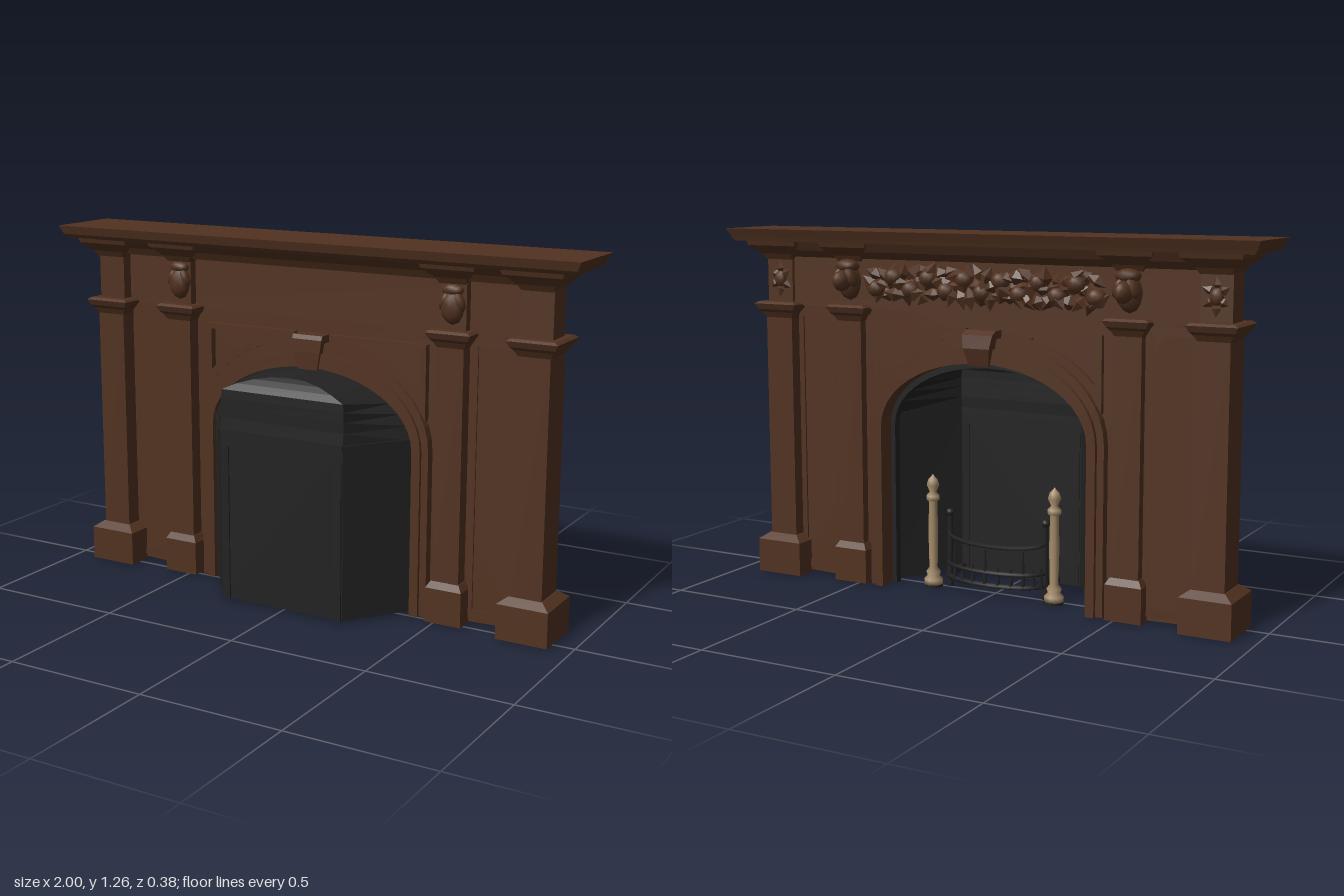
import * as THREE from 'three';

const wood = new THREE.MeshStandardMaterial({ color: 0x513220 });
wood.name = 'brown wood';
const iron = new THREE.MeshStandardMaterial({ color: 0x222222, side: THREE.DoubleSide });
iron.name = 'black iron';
const brass = new THREE.MeshStandardMaterial({ color: 0xa38a69 });
brass.name = 'pale brass';

const V2 = (x, y) => new THREE.Vector2(x, y);
const V3 = (x, y, z) => new THREE.Vector3(x, y, z);
const SPRING = 0.58; // height where the arch starts to curve

function flat(geo) {
  const g = geo.index ? geo.toNonIndexed() : geo;
  g.computeVertexNormals();
  return g;
}

// Stack of rectangles [y, x0, x1, z0, z1] joined into a moulded block
function block(sections) {
  const pos = [], idx = [];
  for (const [y, x0, x1, z0, z1] of sections) {
    pos.push(x0, y, z0, x0, y, z1, x1, y, z1, x1, y, z0);
  }
  for (let s = 0; s < sections.length - 1; s++) {
    for (let i = 0; i < 4; i++) {
      const a = s * 4 + i, b = s * 4 + (i + 1) % 4;
      idx.push(a, b, b + 4, a, b + 4, a + 4);
    }
  }
  const t = (sections.length - 1) * 4;
  idx.push(t, t + 1, t + 2, t, t + 2, t + 3, 0, 2, 1, 0, 3, 2);
  const g = new THREE.BufferGeometry();
  g.setAttribute('position', new THREE.Float32BufferAttribute(pos, 3));
  g.setIndex(idx);
  return flat(g);
}

// Points of an arch outline, from its right foot to its left foot
function arch(rx, ry, n = 24) {
  const pts = [V2(rx, 0)];
  for (let i = 0; i <= n; i++) {
    const a = Math.PI * i / n;
    pts.push(V2(rx * Math.cos(a), SPRING + ry * Math.sin(a)));
  }
  pts.push(V2(-rx, 0));
  return pts;
}

function slab(shape, z0, z1) {
  return new THREE.ExtrudeGeometry(shape, { depth: z1 - z0, bevelEnabled: false }).translate(0, 0, z0);
}

function archRing(ro, ho, ri, hi, z0, z1) {
  return slab(new THREE.Shape([...arch(ro, ho), ...arch(ri, hi).reverse()]), z0, z1);
}

// Corner panel outline whose lower edge follows the arch
function spandrel(x0, x1, top, rx, ry, side) {
  const pts = [V2(x0 * side, top), V2(x1 * side, top)];
  for (let i = 0; i <= 8; i++) {
    const x = x1 + (x0 - x1) * i / 8;
    pts.push(V2(x * side, SPRING + ry * Math.sqrt(1 - (x / rx) ** 2)));
  }
  return pts;
}

function rectPoints(x0, x1, y0, y1) {
  return [V2(x0, y0), V2(x1, y0), V2(x1, y1), V2(x0, y1)];
}

export function createModel() {
  const model = new THREE.Group();
  const add = (name, geo, mat = wood, parent = model) => {
    const m = new THREE.Mesh(geo, mat);
    m.name = name;
    parent.add(m);
    return m;
  };

  // Wall with arched opening, frieze and mantel shelf
  const wall = new THREE.Shape([V2(-0.78, 0.01), V2(-0.78, 1.16), V2(0.78, 1.16), V2(0.78, 0.01), ...arch(0.42, 0.27)]);
  add('wall', slab(wall, -0.068, -0.045));
  add('frieze', block([[0.99, -0.78, 0.78, -0.085, -0.04], [1.165, -0.78, 0.78, -0.085, -0.04]]));
  add('mantelCornice', block([
    [1.165, -0.87, 0.87, -0.09, -0.015], [1.19, -0.9, 0.9, -0.12, 0.0], [1.225, -0.92, 0.92, -0.14, 0.035],
  ]));
  add('mantelShelf', block([
    [1.222, -0.975, 0.975, -0.172, 0.07], [1.235, -0.985, 0.985, -0.177, 0.08], [1.265, -1, 1, -0.19, 0.09],
  ]));

  // Arch mouldings and keystone
  add('archMoulding', archRing(0.455, 0.335, 0.405, 0.26, -0.1, -0.012));
  add('archInnerMoulding', archRing(0.43, 0.3, 0.398, 0.246, -0.115, 0.0));
  add('keystone', block([
    [0.82, -0.038, 0.038, -0.125, 0.008], [0.88, -0.05, 0.05, -0.143, 0.012],
    [0.925, -0.058, 0.058, -0.135, 0.012], [0.94, -0.058, 0.058, -0.11, 0.005],
  ]));

  // Carved leaves and lumps, varied by a seeded rule
  let seed = 7;
  const rnd = () => (seed = (seed * 16807) % 2147483647) / 2147483647;
  const lumpGeo = new THREE.IcosahedronGeometry(1, 1);
  const lump = (parent, x, y, z, sx, sy, sz, angle = 0) => {
    const m = add('carvedLump', lumpGeo, wood, parent);
    m.position.set(x, y, z);
    m.rotation.z = angle;
    m.scale.set(sx, sy, sz);
  };
  const leafGeo = new THREE.OctahedronGeometry(1, 0);
  const leaf = (parent, x, y, z, angle, size) => {
    const m = add('leaf', leafGeo, wood, parent);
    m.position.set(x, y, z);
    m.rotation.set((rnd() - 0.5) * 0.6, (rnd() - 0.5) * 0.6, angle);
    m.scale.set(size * 0.6, size, size * 0.45);
  };

  for (const s of [-1, 1]) {
    const sec = (rows) => rows.map(([y, a, b, z0, z1]) => [y, Math.min(a * s, b * s), Math.max(a * s, b * s), z0, z1]);

    // Columns: outer is wider and deeper than the inner one
    for (const [label, a, b, z0, z1, grow] of [
      ['outer', 0.775, 0.885, -0.112, 0.015, 0.036], ['inner', 0.487, 0.583, -0.1, 0.005, 0.018],
    ]) {
      const ring = (y, k) => [y, a - k, b + k, z0 - k * 0.9, z1 + k * 0.9];
      add(label + 'Base', block(sec([ring(0, grow), ring(0.122, grow), ring(0.145, 0.004)])));
      add(label + 'Column', block(sec([ring(0.14, 0), ring(0.97, 0)])));
      add(label + 'Capital', block(sec([
        ring(0.945, 0), ring(0.965, 0.012), ring(0.975, 0.022), ring(0.995, 0.032), ring(1.003, 0.02),
      ])));
      add(label + 'UpperBlock', block(sec([
        [1, a + 0.003, b, z0 + 0.015, z1 - 0.015], [1.17, a + 0.003, b, z0 + 0.015, z1 - 0.015],
      ])));
      add(label + 'Bracket', block(sec([
        ring(1.155, -0.003), ring(1.175, 0.01), ring(1.205, 0.045), ring(1.225, 0.052),
      ])));
    }

    // Carved shields on the inner upper blocks, shallow on one face and boldly carved on the other
    const carving = new THREE.Group();
    carving.name = 'upperBlockCarving';
    carving.position.set(0.535 * s, 1.085, 0);
    model.add(carving);
    lump(carving, 0, -0.005, -0.008, 0.042, 0.06, 0.032);
    lump(carving, 0, 0.05, -0.008, 0.04, 0.022, 0.026);
    lump(carving, 0, 0, -0.09, 0.044, 0.066, 0.045);
    lump(carving, 0, 0.055, -0.105, 0.044, 0.025, 0.042);
    lump(carving, 0, 0.005, -0.14, 0.03, 0.038, 0.045);
    for (const e of [-1, 1]) {
      lump(carving, 0.024 * e, 0.02, -0.12, 0.018, 0.04, 0.03, e * 0.4);
      lump(carving, 0.026 * e, 0.015, -0.004, 0.016, 0.036, 0.022, e * 0.4);
    }

    // Low relief on the outer upper blocks
    const relief = new THREE.Group();
    relief.name = 'outerBlockRelief';
    relief.position.set(0.83 * s, 1.085, -0.097);
    model.add(relief);
    lump(relief, 0, 0, 0, 0.024, 0.03, 0.018);
    for (let i = 0; i < 6; i++) {
      const a = Math.PI * 2 * (i + 0.5) / 6;
      leaf(relief, 0.026 * Math.cos(a), 0.038 * Math.sin(a), 0, a - Math.PI / 2, 0.027);
    }

    // Raised frames around the spandrels and side panels
    const frame = new THREE.Shape(spandrel(0.07, 0.437, 0.942, 0.46, 0.335, s));
    frame.holes.push(new THREE.Path(spandrel(0.18, 0.412, 0.922, 0.49, 0.36, s)));
    add('spandrelFrame', slab(frame, -0.085, -0.02));
    const panel = new THREE.Shape(rectPoints(0.6 * s, 0.77 * s, 0.02, 0.98));
    panel.holes.push(new THREE.Path(rectPoints(0.615 * s, 0.75 * s, 0.05, 0.95)));
    add('sidePanelFrame', slab(panel, -0.074, -0.039));
  }

  // Dense carved foliage along the frieze
  const foliage = new THREE.Group();
  foliage.name = 'friezeFoliage';
  model.add(foliage);
  for (let i = 0; i < 72; i++) {
    const x = -0.435 + 0.87 * i / 71;
    const y = 1.085 + [-0.038, 0.036, 0][i % 3] + (rnd() - 0.5) * 0.016;
    leaf(foliage, x, y, -0.09 - rnd() * 0.02, rnd() * Math.PI * 2, 0.036 + rnd() * 0.01);
  }
  for (let i = 0; i < 13; i++) {
    lump(foliage, -0.42 + 0.07 * i, 1.085 + (i % 2 ? 0.022 : -0.02), -0.095, 0.034, 0.032, 0.034);
  }

  // Firebox: splayed cheeks and back, rising into a rounded hood
  const rows = [[0.01, 0.402, 0.24, 0.184], [0.61, 0.4, 0.24, 0.185]];
  for (let i = 2; i <= 9; i++) {
    const a = Math.PI / 2 * i / 9, y = SPRING + 0.233 * Math.sin(a), f = 0.402 * Math.cos(a);
    rows.push([y, f, Math.min(0.24, f * 0.92), 0.182 - 0.055 * (Math.max(0, y - 0.75) / 0.063) ** 2]);
  }
  const pos = [], idx = [];
  rows.forEach(([y, f, b, z], r) => {
    pos.push(-f, y, -0.03, -b, y, z, b, y, z, f, y, -0.03);
    if (r) for (let i = 0; i < 3; i++) {
      const a = (r - 1) * 4 + i;
      if (i < 2) idx.push(a, a + 1, a + 5, a, a + 5, a + 4);
      else idx.push(a, a + 1, a + 4, a + 1, a + 5, a + 4);
    }
  });
  const hood = new THREE.BufferGeometry();
  hood.setAttribute('position', new THREE.Float32BufferAttribute(pos, 3));
  hood.setIndex(idx);
  add('firebox', flat(hood), iron);
  add('fireboxArchRim', archRing(0.408, 0.252, 0.38, 0.223, -0.05, -0.02), iron);

  // Raised strips on the back and cheeks of the firebox
  add('backBand', new THREE.BoxGeometry(0.48, 0.02, 0.009).translate(0, 0.61, 0.1855), iron);
  for (const s of [-1, 1]) {
    add('backStile', new THREE.BoxGeometry(0.028, 0.55, 0.009).translate(0.222 * s, 0.285, 0.1855), iron);
    const band = add('cheekBand', new THREE.BoxGeometry(0.25, 0.02, 0.01), iron);
    band.position.set(0.318 * s, 0.61, 0.084);
    band.rotation.y = s * Math.atan2(0.215, 0.16);
  }

  // Turned andirons on dark feet
  const profile = [[0, 0.01], [0.034, 0.01], [0.034, 0.028], [0.022, 0.04], [0.027, 0.055], [0.015, 0.07], [0.018, 0.2],
    [0.015, 0.31], [0.024, 0.318], [0.024, 0.332], [0.012, 0.345], [0.023, 0.37], [0.017, 0.39], [0.007, 0.4], [0, 0.41]];
  for (const s of [-1, 1]) {
    const a = add('andiron', new THREE.LatheGeometry(profile.map(([x, y]) => V2(x, y)), 10), brass);
    a.position.set(0.24 * s, 0, -0.025);
    add('andironFoot', new THREE.CylinderGeometry(0.034, 0.034, 0.009, 10).translate(0.24 * s, 0.0055, -0.025), iron);
  }

  // Bowed fire grate with rails, bars and finial posts
  const bow = (t, y, sag, depth) => V3(0.19 * Math.cos(t), y - sag * Math.sin(t), 0.01 - depth * Math.sin(t));
  for (const [y, sag, depth, r] of [[0.05, 0, 0.09, 0.009], [0.095, 0, 0.09, 0.008], [0.2, 0.02, 0.06, 0.008]]) {
    const pts = [];
    for (let i = 0; i <= 10; i++) pts.push(bow(Math.PI * i / 10, y, sag, depth));
    add('grateRail', new THREE.TubeGeometry(new THREE.CatmullRomCurve3(pts), 24, r, 5), iron);
  }
  for (let i = 1; i < 12; i++) {
    const p = bow(Math.PI * i / 12, 0.07, 0, 0.09);
    const h = i % 3 ? 0.07 : 0.13;
    add('grateBar', new THREE.CylinderGeometry(0.003, 0.009, h, 5).translate(p.x, 0.045 + h / 2, p.z), iron);
  }
  for (const s of [-1, 1]) {
    add('gratePost', new THREE.CylinderGeometry(0.009, 0.012, 0.26, 6).translate(0.19 * s, 0.13, 0.01), iron);
    add('grateFinial', new THREE.SphereGeometry(0.015, 8, 6).translate(0.19 * s, 0.27, 0.01), iron);
    add('grateFoot', new THREE.BoxGeometry(0.015, 0.02, 0.1).translate(0.19 * s, 0.05, 0.06), iron);
  }
  return model;
}
